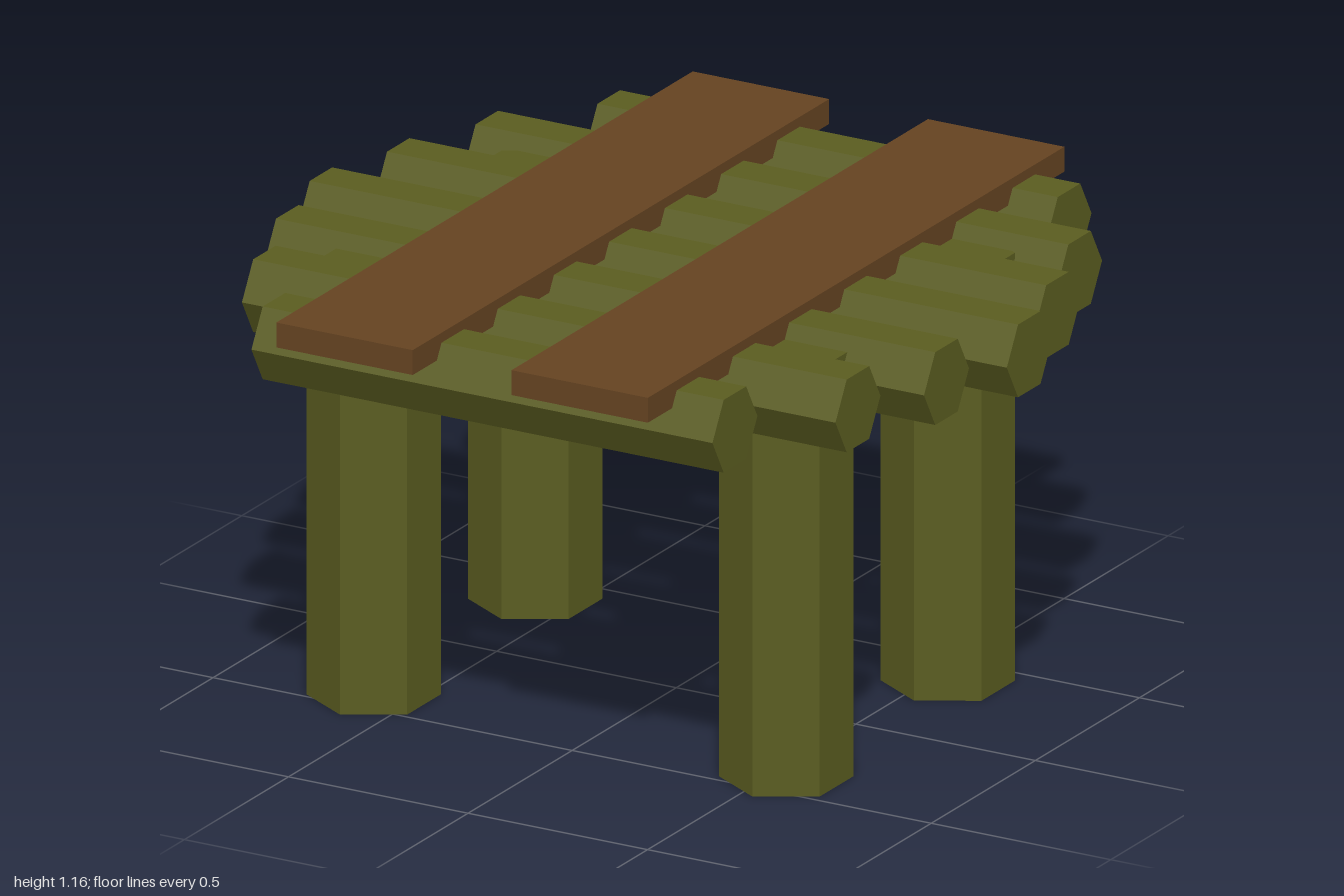
import * as THREE from 'three';

export function createModel() {
  const model = new THREE.Group();
  const logMaterial = new THREE.MeshStandardMaterial({ color: 0x5a5c20, flatShading: true });
  const plankMaterial = new THREE.MeshStandardMaterial({ color: 0x654321, flatShading: true });

  const add = (name, geometry, material, x, y, z) => {
    const mesh = new THREE.Mesh(geometry, material);
    mesh.name = name;
    mesh.position.set(x, y, z);
    model.add(mesh);
    return mesh;
  };

  // Tabletop: seven hexagonal logs, [z, left end, right end]
  const logs = [
    [-0.805, -0.655, 0.627],
    [-0.535, -0.838, 0.813],
    [-0.265, -0.928, 0.908],
    [0.003, -0.988, 0.985],
    [0.268, -0.928, 0.908],
    [0.538, -0.835, 0.818],
    [0.808, -0.652, 0.632],
  ];
  for (const [z, x0, x1] of logs) {
    const geometry = new THREE.CylinderGeometry(0.108, 0.108, x1 - x0, 6).rotateZ(Math.PI / 2);
    add('topLog', geometry, logMaterial, (x0 + x1) / 2, 1.043, z);
  }

  // Legs: upright hexagonal posts rising between the logs up to the planks
  const legHeight = 1.1;
  const legGeometry = new THREE.CylinderGeometry(0.162, 0.162, legHeight, 6);
  const legs = [
    ['frontLeftLeg', 0.535, 0.395],
    ['frontRightLeg', -0.608, 0.405],
    ['backLeftLeg', 0.541, -0.372],
    ['backRightLeg', -0.602, -0.36],
  ];
  for (const [name, x, z] of legs) add(name, legGeometry, logMaterial, x, legHeight / 2, z);

  // Two flat planks laid across the logs
  const plankGeometry = new THREE.BoxGeometry(0.38, 0.064, 2);
  add('rightPlank', plankGeometry, plankMaterial, -0.344, 1.13, 0);
  add('leftPlank', plankGeometry, plankMaterial, 0.311, 1.13, 0);

  return model;
}
